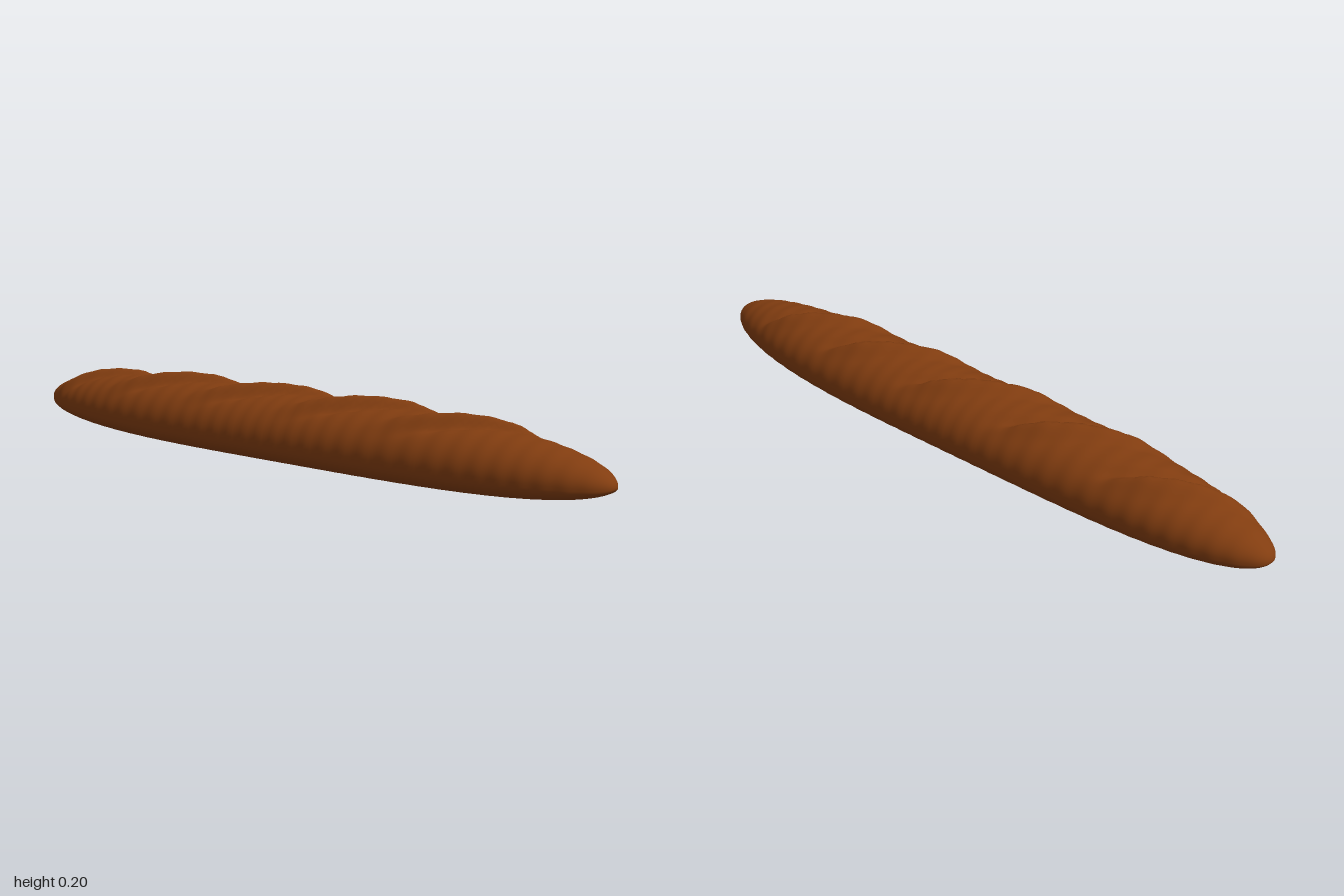
import * as THREE from 'three';

const RINGS = 240, SIDES = 72;
const CUTS = [-0.735, -0.39, -0.045, 0.295, 0.615]; // where each score crosses the crest
const SLANT = 1.65; // scores run diagonally over the crust
const { smoothstep } = THREE.MathUtils;

// Raised lip and groove of the diagonal scores, as a height to add
function scoreHeight(x, z) {
  let h = 0;
  for (const cx of CUTS) {
    const d = (x - cx + SLANT * z) / Math.hypot(1, SLANT);
    const fade = 1 - smoothstep(Math.abs(z), 0.06, 0.125);
    const lip = d < -0.012
      ? 0.022 * smoothstep(d, -0.065, -0.012)
      : 0.034 * (1 - smoothstep(d, -0.012, 0.014)) - 0.012 * (1 - smoothstep(d, 0.014, 0.05));
    h += lip * fade;
  }
  return h;
}

// One point of the loaf surface: domed top, flatter base with rounded edges
function crustPoint(x, a) {
  const taper = Math.sqrt(Math.max(0, 1 - Math.pow(Math.abs(x), 3.5)));
  const c = Math.cos(a), s = Math.sin(a);
  const top = s >= 0;
  const across = top ? c : Math.sign(c) * Math.pow(Math.abs(c), 2 / 3);
  const up = top ? 0.112 * s : -0.068 * Math.pow(-s, 2 / 3);
  const ripple = 1 + 0.009 * Math.sin(x * 105 + 2 * Math.sin(x * 7)) * (top ? 1 : 1 + s);
  const z = across * 0.146 * taper * ripple;
  const y = 0.068 + up * taper * ripple + (top ? scoreHeight(x, z) * s * taper : 0);
  return [x, y, z - 0.009 * Math.sin(Math.PI * x)];
}

function crustGeometry() {
  const positions = [], index = [];
  for (let i = 0; i <= RINGS; i++) {
    const x = Math.sin((i / RINGS - 0.5) * Math.PI);
    for (let j = 0; j < SIDES; j++) positions.push(...crustPoint(x, (j / SIDES) * Math.PI * 2));
  }
  for (let i = 0; i < RINGS; i++) {
    for (let j = 0; j < SIDES; j++) {
      const k = (j + 1) % SIDES;
      const a = i * SIDES + j, b = a + SIDES, c = (i + 1) * SIDES + k, d = i * SIDES + k;
      index.push(a, b, c, a, c, d);
    }
  }
  const geometry = new THREE.BufferGeometry();
  geometry.setAttribute('position', new THREE.Float32BufferAttribute(positions, 3));
  geometry.setIndex(index);
  geometry.computeVertexNormals();
  return geometry;
}

export function createModel() {
  const group = new THREE.Group();
  group.name = 'baguette';
  const crust = new THREE.MeshStandardMaterial({ color: 0x823d10 });
  crust.name = 'brown crust';
  const loaf = new THREE.Mesh(crustGeometry(), crust);
  loaf.name = 'loaf';
  group.add(loaf);
  return group;
}
